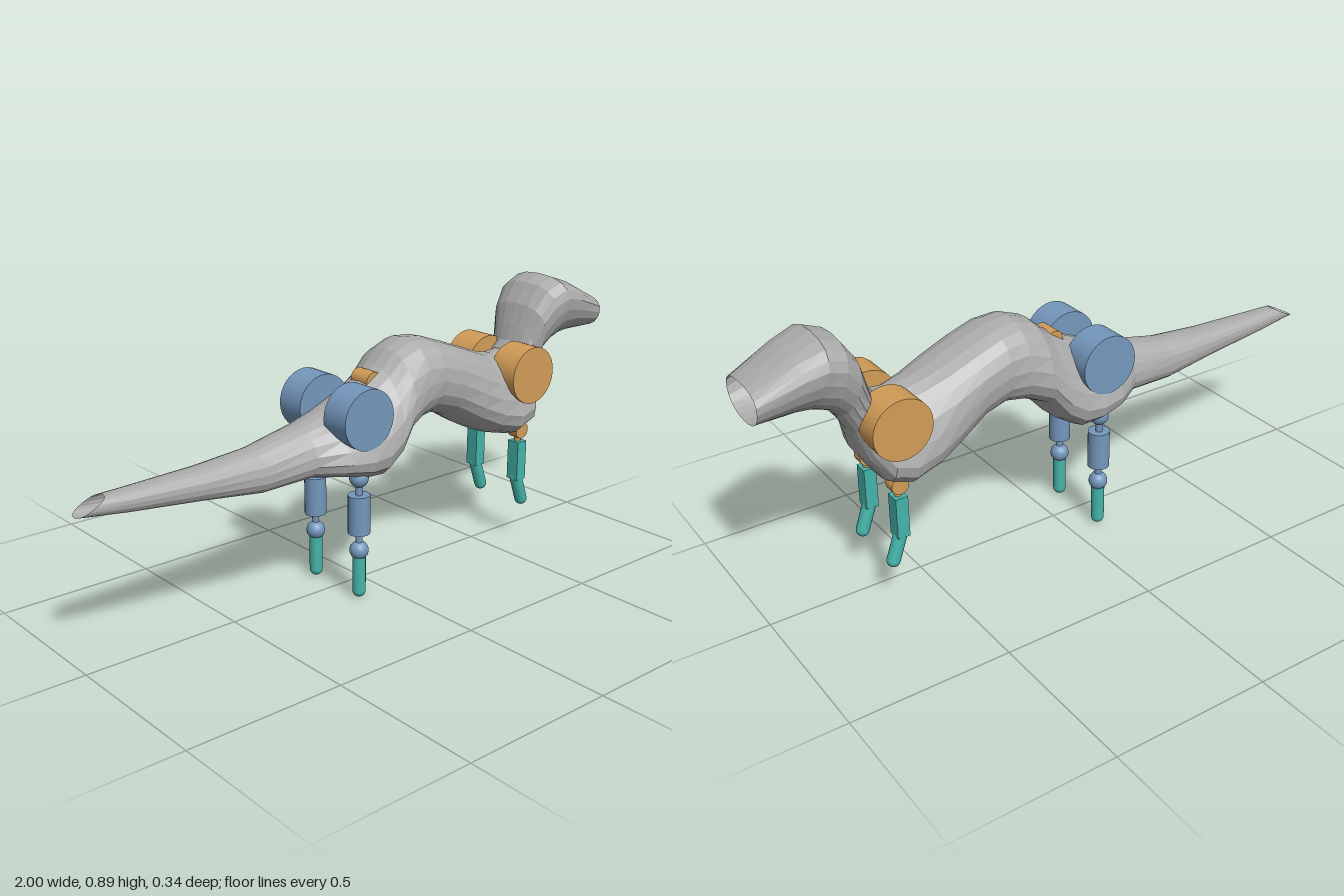
import * as THREE from 'three';

const mat = (name, color, extra = {}) => Object.assign(new THREE.MeshStandardMaterial({ color, ...extra }), { name });

export function createModel() {
  const model = new THREE.Group();
  model.name = 'longBodiedCreature';
  const grey = mat('skin grey', 0xacacac, { side: THREE.DoubleSide });
  const blue = mat('steel blue', 0x7598bd);
  const orange = mat('warm orange', 0xd29d58);
  const teal = mat('teal', 0x45b5ab);

  const add = (parent, name, geometry, material, x = 0, y = 0, z = 0) => {
    const mesh = new THREE.Mesh(geometry, material);
    mesh.name = name;
    mesh.position.set(x, y, z);
    parent.add(mesh);
    return mesh;
  };
  // Cylinder lying across the body
  const drum = (r, width, sides = 32) => new THREE.CylinderGeometry(r, r, width, sides).rotateX(Math.PI / 2);
  const rod = (r, length) => new THREE.CylinderGeometry(r, r, length, 16);

  // Body sections, tail to muzzle: top x, top y, bottom x, bottom y, half width, low bulge
  const sections = [
    [-0.91, 0.515, -1, 0.47, 0.032, 0],
    [-0.85, 0.515, -0.85, 0.45, 0.042, 0],
    [-0.6, 0.52, -0.62, 0.425, 0.06, 0],
    [-0.42, 0.535, -0.42, 0.4, 0.075, 0.1],
    [-0.25, 0.57, -0.25, 0.41, 0.095, 0.2],
    [-0.16, 0.595, -0.16, 0.4, 0.14, 0.4],
    [-0.09, 0.625, -0.08, 0.38, 0.155, 0.4],
    [-0.01, 0.66, -0.02, 0.372, 0.155, 0.35],
    [0.05, 0.7, 0.04, 0.41, 0.152, 0.3],
    [0.1, 0.745, 0.09, 0.48, 0.148, 0.2],
    [0.17, 0.77, 0.16, 0.51, 0.138, 0.1],
    [0.24, 0.762, 0.23, 0.52, 0.135, 0],
    [0.33, 0.73, 0.31, 0.495, 0.137, 0],
    [0.42, 0.695, 0.4, 0.44, 0.145, 0.1],
    [0.5, 0.665, 0.48, 0.4, 0.148, 0.25],
    [0.57, 0.65, 0.57, 0.378, 0.148, 0.38],
    [0.62, 0.655, 0.64, 0.4, 0.14, 0.38],
    [0.645, 0.68, 0.685, 0.47, 0.108, 0.25],
    [0.66, 0.73, 0.71, 0.56, 0.095, 0],
    [0.685, 0.8, 0.745, 0.625, 0.11, -0.2],
    [0.73, 0.865, 0.78, 0.655, 0.124, -0.2],
    [0.79, 0.888, 0.83, 0.672, 0.127, -0.25],
    [0.87, 0.86, 0.88, 0.68, 0.119, -0.2],
    [1, 0.795, 1, 0.68, 0.1, -0.1],
  ];
  const sides = 20, points = [], faces = [];
  const soften = (v) => Math.sign(v) * Math.abs(v) ** 0.85;
  sections.forEach(([tx, ty, bx, by, w, k], i) => {
    for (let j = 0; j < sides; j++) {
      const a = (j / sides) * Math.PI * 2;
      const c = soften(Math.cos(a)), s = soften(Math.sin(a));
      points.push((tx + bx) / 2 + (tx - bx) / 2 * c, (ty + by) / 2 + (ty - by) / 2 * c, w * s * (1 - k * c));
      if (i === sections.length - 1) continue;
      const p = i * sides + j, q = i * sides + (j + 1) % sides;
      faces.push(p, q, p + sides, q, q + sides, p + sides);
    }
  });
  const shell = new THREE.BufferGeometry();
  shell.setAttribute('position', new THREE.Float32BufferAttribute(points, 3));
  shell.setIndex(faces);
  const faceted = shell.toNonIndexed();
  faceted.computeVertexNormals();
  add(model, 'bodyShell', faceted, grey);

  // Spine pivot showing through the back
  add(model, 'spinePivot', drum(0.03, 0.075, 20), orange, 0.02, 0.66, 0);

  for (const side of [1, -1]) {
    const label = side > 0 ? 'left' : 'right';

    // Hind leg
    const hind = new THREE.Group();
    hind.name = label + 'HindLeg';
    hind.position.set(-0.1, 0, side * 0.107);
    add(hind, 'hipDrum', drum(0.095, 0.1), blue, 0, 0.59, 0);
    add(hind, 'kneeBall', new THREE.SphereGeometry(0.03, 20, 14), blue, 0, 0.395, 0);
    add(hind, 'kneeRod', rod(0.011, 0.06), blue, 0, 0.36, 0);
    add(hind, 'shin', rod(0.035, 0.125), blue, 0, 0.278, 0);
    add(hind, 'ankleRod', rod(0.011, 0.05), blue, 0, 0.2, 0);
    add(hind, 'ankleBall', new THREE.SphereGeometry(0.03, 20, 14), blue, 0, 0.158, 0);
    add(hind, 'foot', new THREE.CapsuleGeometry(0.021, 0.13, 8, 20), teal, 0, 0.087, 0);
    model.add(hind);

    // Fore leg
    const fore = new THREE.Group();
    fore.name = label + 'ForeLeg';
    fore.position.set(0.61, 0, side * 0.097);
    add(fore, 'shoulderDrum', drum(0.095, 0.105), orange, 0, 0.595, side * 0.007);
    add(fore, 'elbow', drum(0.028, 0.04, 20), orange, 0, 0.395, 0);
    add(fore, 'elbowRod', rod(0.011, 0.04), orange, 0, 0.36, 0);
    add(fore, 'forearm', new THREE.BoxGeometry(0.04, 0.135, 0.046), teal, 0, 0.288, 0);
    const paw = add(fore, 'paw', new THREE.CapsuleGeometry(0.021, 0.09, 8, 20), teal, 0.014, 0.182, 0);
    paw.rotation.z = 0.33;
    model.add(fore);
  }
  return model;
}
